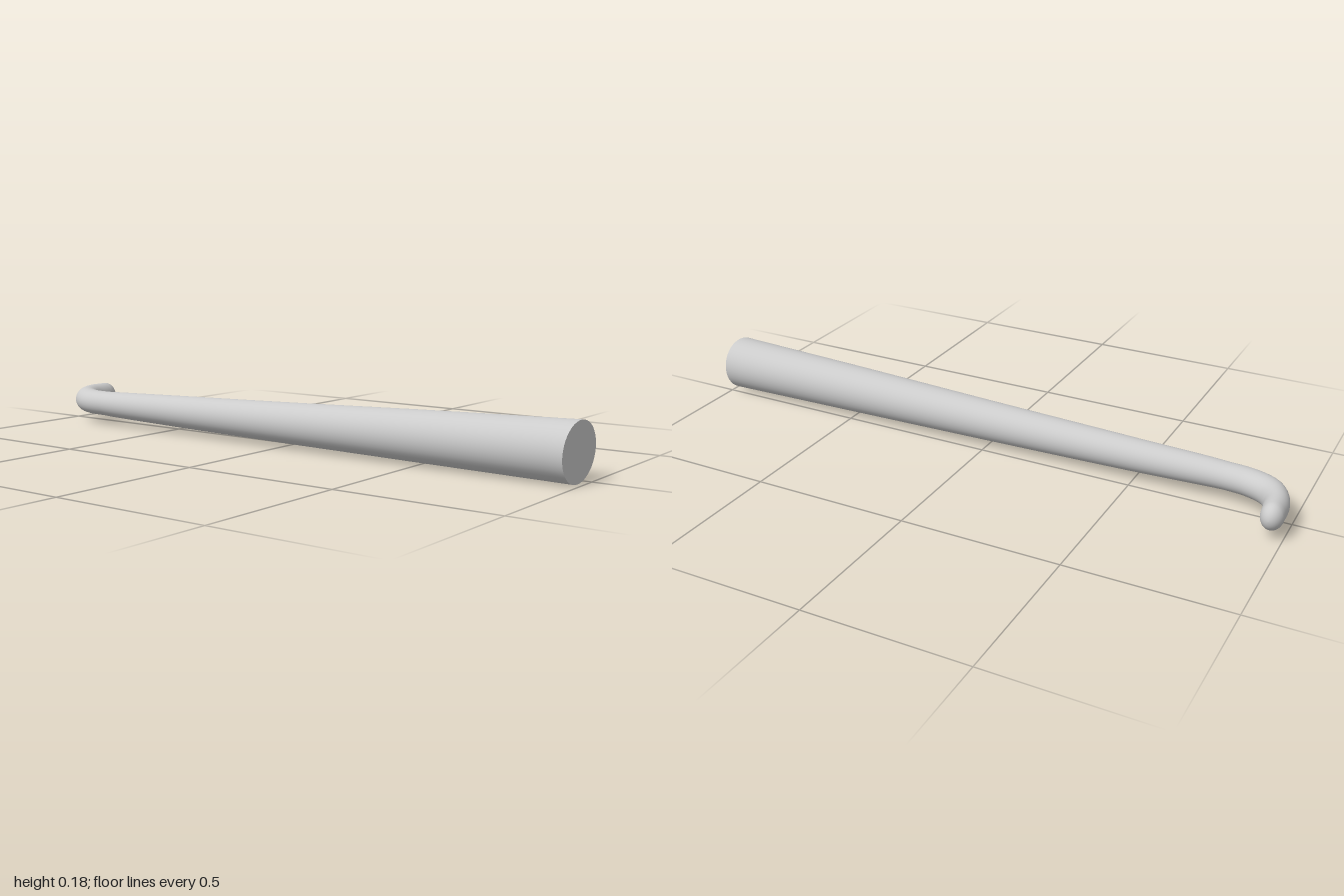
import * as THREE from 'three';

// Centre line and half sizes: x, y, z, radius across, radius up
const STATIONS = [
  [-0.058, 0.089, 0.987, 0.087, 0.088],
  [-0.060, 0.084, 0.5, 0.076, 0.077],
  [-0.062, 0.078, 0, 0.064, 0.064],
  [-0.064, 0.074, -0.5, 0.052, 0.051],
  [-0.065, 0.073, -0.78, 0.044, 0.042],
  [-0.054, 0.073, -0.865, 0.045, 0.042],
  [-0.022, 0.074, -0.924, 0.043, 0.043],
  [0.030, 0.074, -0.955, 0.038, 0.044],
  [0.100, 0.074, -0.964, 0.034, 0.043],
];
const SIDES = 40, STEPS = 72, DOME = 10;

function makeGeometry(points, index) {
  const g = new THREE.BufferGeometry();
  g.setAttribute('position', new THREE.Float32BufferAttribute(points.flatMap((p) => p.toArray()), 3));
  g.setIndex(index);
  g.computeVertexNormals();
  return g;
}

// One elliptical ring square to the direction of travel
function ring(centre, tangent, rx, ry) {
  const side = new THREE.Vector3().crossVectors(tangent, new THREE.Vector3(0, 1, 0)).normalize();
  const up = new THREE.Vector3().crossVectors(side, tangent).normalize();
  const out = [];
  for (let j = 0; j < SIDES; j++) {
    const a = (j / SIDES) * Math.PI * 2;
    const c = Math.cos(a) * rx, s = Math.sin(a) * ry;
    const p = centre.clone().addScaledVector(side, c).addScaledVector(up, s);
    // the thick end is cut slightly askew
    p.z += Math.max(0, (centre.z - 0.7) / 0.287) * (0.1 * c + 0.06 * s);
    out.push(p);
  }
  return out;
}

export function createModel() {
  const group = new THREE.Group();
  const material = new THREE.MeshStandardMaterial({ color: 0xcccccc });
  const path = new THREE.CatmullRomCurve3(STATIONS.map(([x, y, z]) => new THREE.Vector3(x, y, z)));
  const last = STATIONS.length - 1;

  // Tapered shaft running into the bent hook
  const rings = [];
  for (let i = 0; i <= STEPS; i++) {
    const t = i / STEPS;
    const k = Math.min(Math.floor(t * last), last - 1), f = t * last - k;
    const mix = (n) => THREE.MathUtils.lerp(STATIONS[k][n], STATIONS[k + 1][n], f);
    rings.push(ring(path.getPoint(t), path.getTangent(t), mix(3), mix(4)));
  }

  // Rounded tip of the hook
  const end = path.getPoint(1), [, , , rx, ry] = STATIONS[last];
  const dir = new THREE.Vector3(1, 0, 0.03).normalize();
  for (let i = 1; i <= DOME; i++) {
    const a = (i / DOME) * Math.PI / 2;
    const c = Math.max(Math.cos(a), 0.001);
    rings.push(ring(end.clone().addScaledVector(dir, Math.sin(a) * 0.043), dir, rx * c, ry * c));
  }

  const index = [];
  for (let i = 0; i < rings.length - 1; i++) {
    for (let j = 0; j < SIDES; j++) {
      const n = (j + 1) % SIDES;
      const a = i * SIDES + j, b = i * SIDES + n, c = a + SIDES, d = b + SIDES;
      index.push(a, c, b, b, c, d);
    }
  }
  const shaft = new THREE.Mesh(makeGeometry(rings.flat(), index), material);
  shaft.name = 'hookedShaft';

  // Flat face closing the thick end
  const capIndex = [];
  for (let j = 0; j < SIDES; j++) capIndex.push(SIDES, j, (j + 1) % SIDES);
  const cap = new THREE.Mesh(makeGeometry([...rings[0], path.getPoint(0)], capIndex), material);
  cap.name = 'endFace';

  group.add(shaft, cap);
  return group;
}
